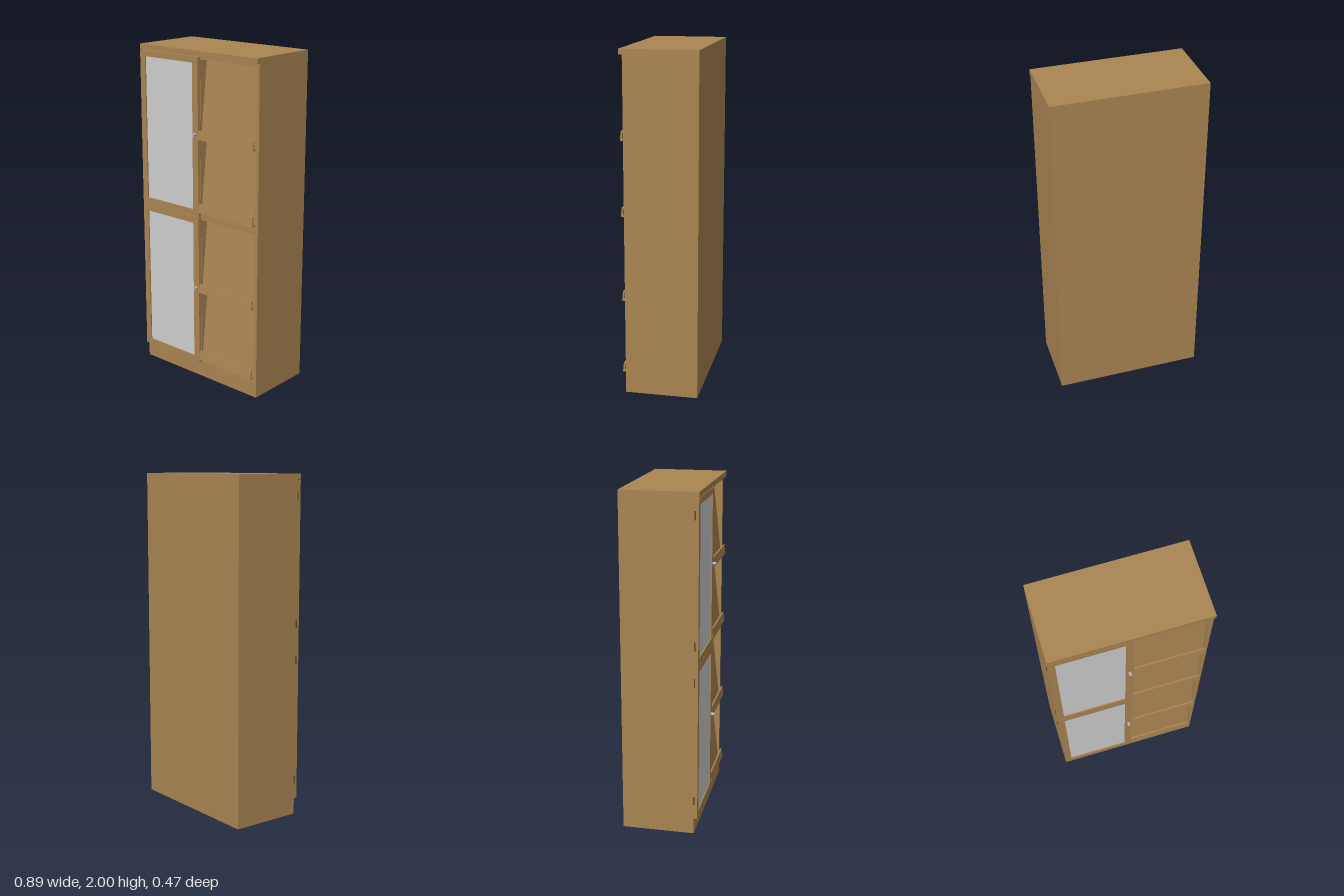
import * as THREE from 'three';

const mat = (name, color) => {
  const m = new THREE.MeshStandardMaterial({ color });
  m.name = name;
  return m;
};

export function createModel() {
  const wood = mat('wood', 0xaa8552);
  const glass = mat('frosted glass', 0xcfcfcf);
  const metal = mat('metal', 0xb4b4b4);
  const hingeMetal = mat('dark hinge metal', 0x5c4a32);

  const root = new THREE.Group();
  root.name = 'cabinet';

  // Box given by its lower and upper limits on each axis
  const box = (parent, name, material, x0, x1, y0, y1, z0, z1) => {
    const m = new THREE.Mesh(new THREE.BoxGeometry(x1 - x0, y1 - y0, z1 - z0), material);
    m.position.set((x0 + x1) / 2, (y0 + y1) / 2, (z0 + z1) / 2);
    m.name = name;
    parent.add(m);
    return m;
  };

  const W = 0.445, BACK = -0.235, FRONT = 0.19, DOOR = 0.21;
  const bayL = 0.015, bayR = 0.425;

  // Carcass boards
  const carcass = new THREE.Group();
  carcass.name = 'carcass';
  root.add(carcass);
  box(carcass, 'topBoard', wood, -W, W, 1.968, 2, BACK, DOOR);
  box(carcass, 'plinth', wood, -W, W, 0, 0.095, BACK, FRONT);
  box(carcass, 'leftSide', wood, bayR, W, 0.095, 1.968, BACK, FRONT);
  box(carcass, 'rightSide', wood, -W, -bayR, 0.095, 1.968, BACK, FRONT);
  box(carcass, 'backBoard', wood, -bayR, bayR, 0.095, 1.968, BACK, BACK + 0.015);
  box(carcass, 'divider', wood, -0.005, bayL, 0.095, 1.968, BACK + 0.015, FRONT);
  const rails = [[0.095, 0.115], [1.01, 1.055], [1.95, 1.968]];
  for (const [y0, y1] of rails) {
    box(carcass, 'rail', wood, bayL, bayR, y0, y1, BACK + 0.015, FRONT);
  }

  // Sloping display shelves, each with a ledge and a lip
  const bays = [[0.115, 0.55], [0.555, 1.01], [1.055, 1.485], [1.49, 1.95]];
  const tilt = 0.11;
  for (const [y0, y1] of bays) {
    const shelf = new THREE.Group();
    shelf.name = 'displayShelf';
    shelf.position.set(0, y0, 0.185);
    shelf.rotation.x = -tilt;
    const h = (y1 - y0) / Math.cos(tilt);
    const r = bayR - 0.003;
    box(shelf, 'slopingPanel', wood, bayL, r, 0, h, -0.01, 0);
    box(shelf, 'ledge', wood, bayL, r, 0, 0.01, 0, 0.019);
    box(shelf, 'lip', wood, bayL, r, 0, 0.055, 0.019, 0.029);
    root.add(shelf);
  }
  // Boards closing the gap between stacked panels
  for (const y of [0.55, 1.485]) {
    box(root, 'hiddenShelf', wood, bayL, bayR, y, y + 0.005, BACK + 0.015, 0.18);
  }

  // Framed doors with a pane, a knob and two hinges each
  const doors = [
    { y0: 0.095, y1: 1.029, p0: 0.13, p1: 0.987, knob: 0.585, hinges: [0.21, 0.935] },
    { y0: 1.031, y1: 1.965, p0: 1.07, p1: 1.93, knob: 1.522, hinges: [1.147, 1.875] },
  ];
  const dl = -W, dr = 0.013, pl = -0.405, pr = -0.03;
  for (const d of doors) {
    const door = new THREE.Group();
    door.name = 'door';
    root.add(door);

    const outline = new THREE.Shape([
      new THREE.Vector2(dl, d.y0), new THREE.Vector2(dr, d.y0),
      new THREE.Vector2(dr, d.y1), new THREE.Vector2(dl, d.y1),
    ]);
    outline.holes.push(new THREE.Path([
      new THREE.Vector2(pl, d.p0), new THREE.Vector2(pl, d.p1),
      new THREE.Vector2(pr, d.p1), new THREE.Vector2(pr, d.p0),
    ]));
    const frame = new THREE.Mesh(
      new THREE.ExtrudeGeometry(outline, { depth: DOOR - FRONT, bevelEnabled: false }), wood);
    frame.position.z = FRONT;
    frame.name = 'doorFrame';
    door.add(frame);
    box(door, 'pane', glass, pl, pr, d.p0, d.p1, 0.197, 0.203);

    const knob = new THREE.Mesh(new THREE.CylinderGeometry(0.01, 0.009, 0.022, 20), metal);
    knob.rotation.x = Math.PI / 2;
    knob.position.set(-0.007, d.knob, 0.22);
    knob.name = 'knob';
    door.add(knob);

    for (const y of d.hinges) {
      const hinge = new THREE.Mesh(new THREE.CylinderGeometry(0.004, 0.004, 0.05, 12), hingeMetal);
      hinge.position.set(-W, y, FRONT);
      hinge.name = 'hinge';
      door.add(hinge);
    }
  }
  return root;
}
